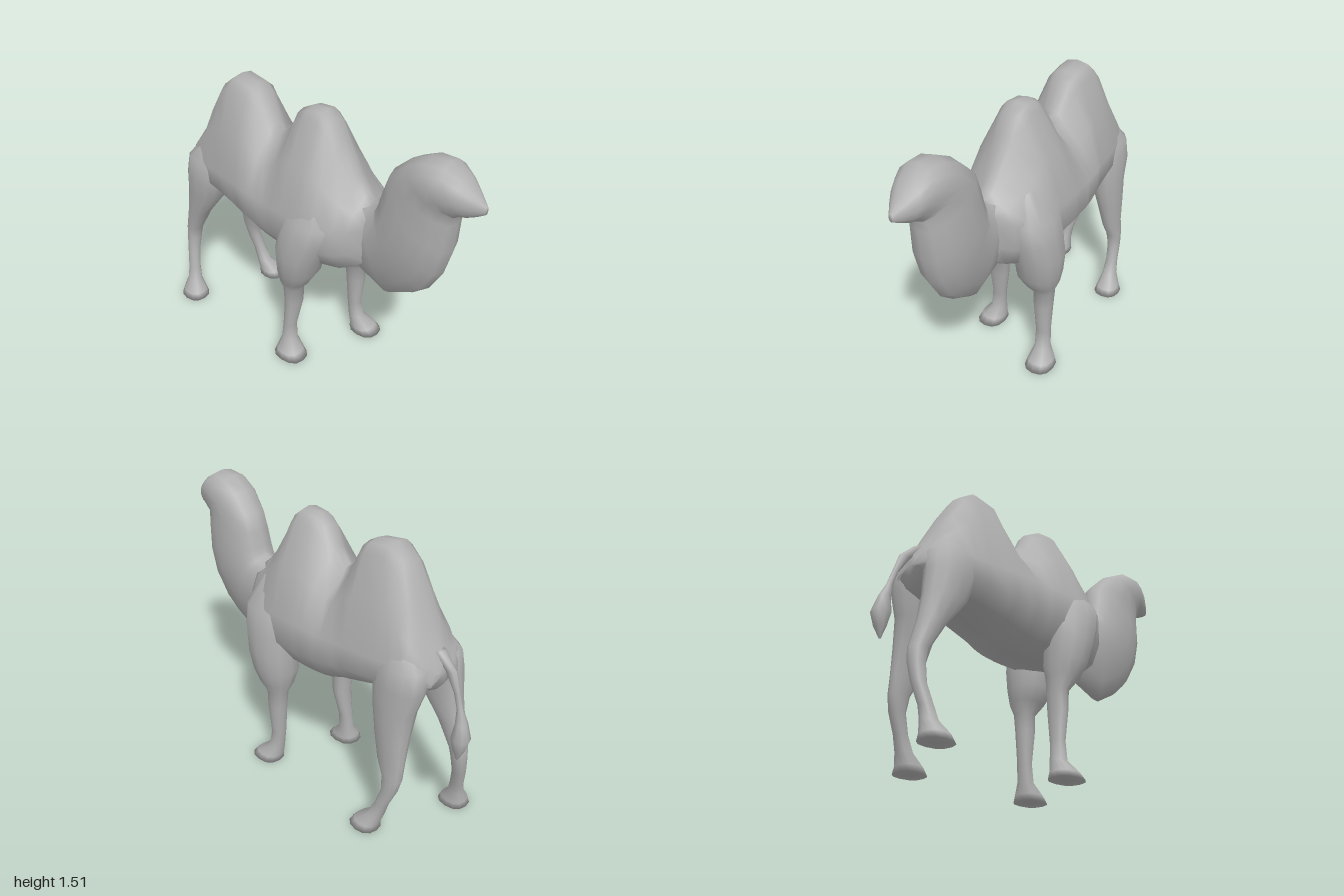
import * as THREE from 'three';

const coat = new THREE.MeshStandardMaterial({ color: 0xb0b0b0 });
coat.name = 'grey coat';

// Skins a list of equal-length rings and closes both ends.
function loft(name, rings) {
  const n = rings[0].length, pos = [], idx = [];
  rings.forEach(r => r.forEach(p => pos.push(...p)));
  for (let i = 0; i < rings.length - 1; i++) {
    for (let j = 0; j < n; j++) {
      const a = i * n + j, b = i * n + (j + 1) % n;
      idx.push(a, b, b + n, a, b + n, a + n);
    }
  }
  const cap = (ring, base, flip) => {
    const c = pos.length / 3;
    pos.push(...[0, 1, 2].map(k => ring.reduce((s, p) => s + p[k], 0) / n));
    for (let j = 0; j < n; j++) {
      const a = base + j, b = base + (j + 1) % n;
      idx.push(...(flip ? [c, b, a] : [c, a, b]));
    }
  };
  cap(rings[0], 0, true);
  cap(rings[rings.length - 1], (rings.length - 1) * n, false);
  // Turn the faces outward if the enclosed volume is negative.
  const v = i => new THREE.Vector3().fromArray(pos, idx[i] * 3);
  let volume = 0;
  for (let i = 0; i < idx.length; i += 3) volume += v(i).dot(v(i + 1).cross(v(i + 2)));
  if (volume < 0) idx.reverse();
  const g = new THREE.BufferGeometry();
  g.setAttribute('position', new THREE.Float32BufferAttribute(pos, 3));
  g.setIndex(idx);
  g.computeVertexNormals();
  const mesh = new THREE.Mesh(g, coat);
  mesh.name = name;
  return mesh;
}

// Sine or cosine pushed outward, for slightly squared ovals.
const squared = (v, power) => Math.sign(v) * Math.abs(v) ** power;

// Horizontal oval ring: centre x, y, z and radii in x and z.
function oval([x, y, z, rx, rz], n = 12) {
  return Array.from({ length: n }, (_, i) => {
    const t = i / n * Math.PI * 2;
    return [x + rx * squared(Math.sin(t), 0.85), y, z + rz * squared(Math.cos(t), 0.85)];
  });
}

// Upright body section: z, back height, belly height, half width, ridge half width.
function bodyRing([z, top, bot, w, a]) {
  const low = Math.min(1.0, top - 0.08);
  const half = [
    [a * 0.6, top - 0.012], [a, top - 0.05],
    [a + (w - a) * 0.55, low + (top - low) * 0.5],
    [w * 0.98, low], [w * 0.97, (low + bot) / 2], [w * 0.65, bot + 0.035],
  ];
  const right = half.map(([x, y]) => [x, y, z]);
  const left = half.map(([x, y]) => [-x, y, z]).reverse();
  return [[0, top, z], ...right, [0, bot, z], ...left];
}

// Slanted neck section: back z, y, front z, y, half width, forward narrowing, side shift.
function neckRing([bz, by, fz, fy, w, taper, shift], n = 14) {
  return Array.from({ length: n }, (_, i) => {
    const t = i / n * Math.PI * 2, k = (1 - Math.cos(t)) / 2;
    const x = w * squared(Math.sin(t), 0.8) * (1 - taper * k * k);
    return [x + shift, by + (fy - by) * k, bz + (fz - bz) * k];
  });
}

export function createModel() {
  const model = new THREE.Group();
  model.name = 'camel';

  // Trunk with two humps
  model.add(loft('body', [
    [0.41, 1.11, 0.76, 0.11, 0.06],
    [0.36, 1.15, 0.72, 0.17, 0.06],
    [0.30, 1.22, 0.70, 0.22, 0.06],
    [0.20, 1.37, 0.69, 0.26, 0.07],
    [0.14, 1.47, 0.69, 0.27, 0.08],
    [0.09, 1.51, 0.68, 0.27, 0.085],
    [0.00, 1.50, 0.68, 0.27, 0.085],
    [-0.07, 1.46, 0.68, 0.27, 0.07],
    [-0.12, 1.36, 0.68, 0.265, 0.06],
    [-0.20, 1.29, 0.69, 0.265, 0.05],
    [-0.25, 1.32, 0.70, 0.26, 0.06],
    [-0.33, 1.46, 0.73, 0.25, 0.08],
    [-0.38, 1.49, 0.74, 0.24, 0.10],
    [-0.50, 1.51, 0.77, 0.225, 0.10],
    [-0.58, 1.45, 0.78, 0.215, 0.09],
    [-0.65, 1.33, 0.79, 0.205, 0.09],
    [-0.72, 1.19, 0.81, 0.19, 0.09],
    [-0.78, 1.07, 0.84, 0.16, 0.08],
    [-0.82, 1.01, 0.89, 0.10, 0.05],
  ].map(bodyRing)));

  // Deep curved neck rising into the head
  model.add(loft('neckAndHead', [
    [0.28, 1.10, 0.36, 0.68, 0.11, 0.4, 0],
    [0.38, 1.12, 0.52, 0.61, 0.12, 0.5, 0],
    [0.43, 1.13, 0.66, 0.69, 0.13, 0.4, 0],
    [0.44, 1.15, 0.75, 0.77, 0.135, 0.3, 0],
    [0.45, 1.18, 0.82, 0.90, 0.135, 0.1, 0],
    [0.47, 1.26, 0.855, 1.05, 0.13, 0, 0],
    [0.50, 1.35, 0.865, 1.21, 0.125, 0.1, 0],
    [0.60, 1.45, 0.87, 1.26, 0.13, 0.3, -0.01],
    [0.70, 1.505, 0.88, 1.265, 0.13, 0.3, -0.015],
    [0.80, 1.515, 0.90, 1.28, 0.115, 0.3, -0.015],
    [0.88, 1.47, 0.93, 1.29, 0.085, 0.2, -0.015],
    [0.94, 1.42, 0.97, 1.31, 0.05, 0.2, -0.015],
    [1.00, 1.37, 1.00, 1.33, 0.012, 0, -0.015],
  ].map(r => neckRing(r))));

  // Legs: rings from the top down, as x, y, z, x radius, z radius
  const legs = {
    leftFrontLeg: [
      [0.12, 1.15, 0.18, 0.06, 0.08], [0.165, 0.98, 0.19, 0.115, 0.155],
      [0.18, 0.86, 0.185, 0.12, 0.155],
      [0.19, 0.73, 0.17, 0.122, 0.14], [0.185, 0.62, 0.16, 0.115, 0.125],
      [0.195, 0.54, 0.145, 0.085, 0.095], [0.20, 0.48, 0.135, 0.055, 0.058],
      [0.20, 0.38, 0.14, 0.05, 0.053], [0.20, 0.20, 0.137, 0.04, 0.037],
      [0.205, 0.10, 0.15, 0.042, 0.043], [0.22, 0.04, 0.19, 0.07, 0.075],
      [0.225, 0.005, 0.205, 0.08, 0.092],
    ],
    rightFrontLeg: [
      [-0.12, 1.15, 0.14, 0.06, 0.08], [-0.17, 0.98, 0.14, 0.115, 0.15],
      [-0.185, 0.87, 0.11, 0.12, 0.15],
      [-0.195, 0.76, 0.08, 0.122, 0.13], [-0.185, 0.64, 0.06, 0.115, 0.11],
      [-0.185, 0.55, 0.035, 0.085, 0.08], [-0.175, 0.48, 0.01, 0.06, 0.05],
      [-0.175, 0.37, 0.01, 0.057, 0.043], [-0.19, 0.20, -0.01, 0.04, 0.034],
      [-0.195, 0.10, -0.01, 0.042, 0.043], [-0.215, 0.04, 0.01, 0.07, 0.075],
      [-0.22, 0.005, 0.02, 0.08, 0.097],
    ],
    leftHindLeg: [
      [0.08, 1.12, -0.62, 0.06, 0.08], [0.115, 0.99, -0.67, 0.10, 0.135],
      [0.135, 0.88, -0.67, 0.095, 0.14], [0.145, 0.75, -0.655, 0.085, 0.115],
      [0.165, 0.60, -0.665, 0.065, 0.095],
      [0.18, 0.45, -0.68, 0.045, 0.078], [0.19, 0.36, -0.70, 0.04, 0.055],
      [0.20, 0.28, -0.695, 0.035, 0.042], [0.21, 0.18, -0.66, 0.033, 0.035],
      [0.215, 0.10, -0.63, 0.04, 0.043], [0.23, 0.04, -0.585, 0.065, 0.068],
      [0.235, 0.005, -0.575, 0.075, 0.082],
    ],
    rightHindLeg: [
      [-0.08, 1.12, -0.62, 0.06, 0.08], [-0.115, 0.99, -0.67, 0.10, 0.135],
      [-0.135, 0.88, -0.68, 0.095, 0.135], [-0.14, 0.75, -0.71, 0.08, 0.115],
      [-0.145, 0.60, -0.78, 0.06, 0.07],
      [-0.145, 0.45, -0.842, 0.045, 0.047], [-0.15, 0.38, -0.85, 0.042, 0.04],
      [-0.17, 0.28, -0.845, 0.035, 0.035], [-0.20, 0.17, -0.82, 0.033, 0.035],
      [-0.215, 0.10, -0.81, 0.04, 0.042], [-0.235, 0.04, -0.79, 0.065, 0.07],
      [-0.24, 0.005, -0.785, 0.075, 0.083],
    ],
  };
  for (const [name, rows] of Object.entries(legs)) model.add(loft(name, rows.map(r => oval(r))));

  // Tail with a hanging tuft
  model.add(loft('tail', [
    [0, 1.06, -0.78, 0.03, 0.03], [0, 0.98, -0.855, 0.022, 0.03],
    [0, 0.88, -0.90, 0.014, 0.016], [0, 0.80, -0.925, 0.014, 0.016],
    [0.005, 0.73, -0.945, 0.03, 0.03], [0.01, 0.65, -0.952, 0.045, 0.048],
    [0.01, 0.58, -0.95, 0.03, 0.03], [0.01, 0.52, -0.945, 0.005, 0.005],
  ].map(r => oval(r, 8))));

  return model;
}
